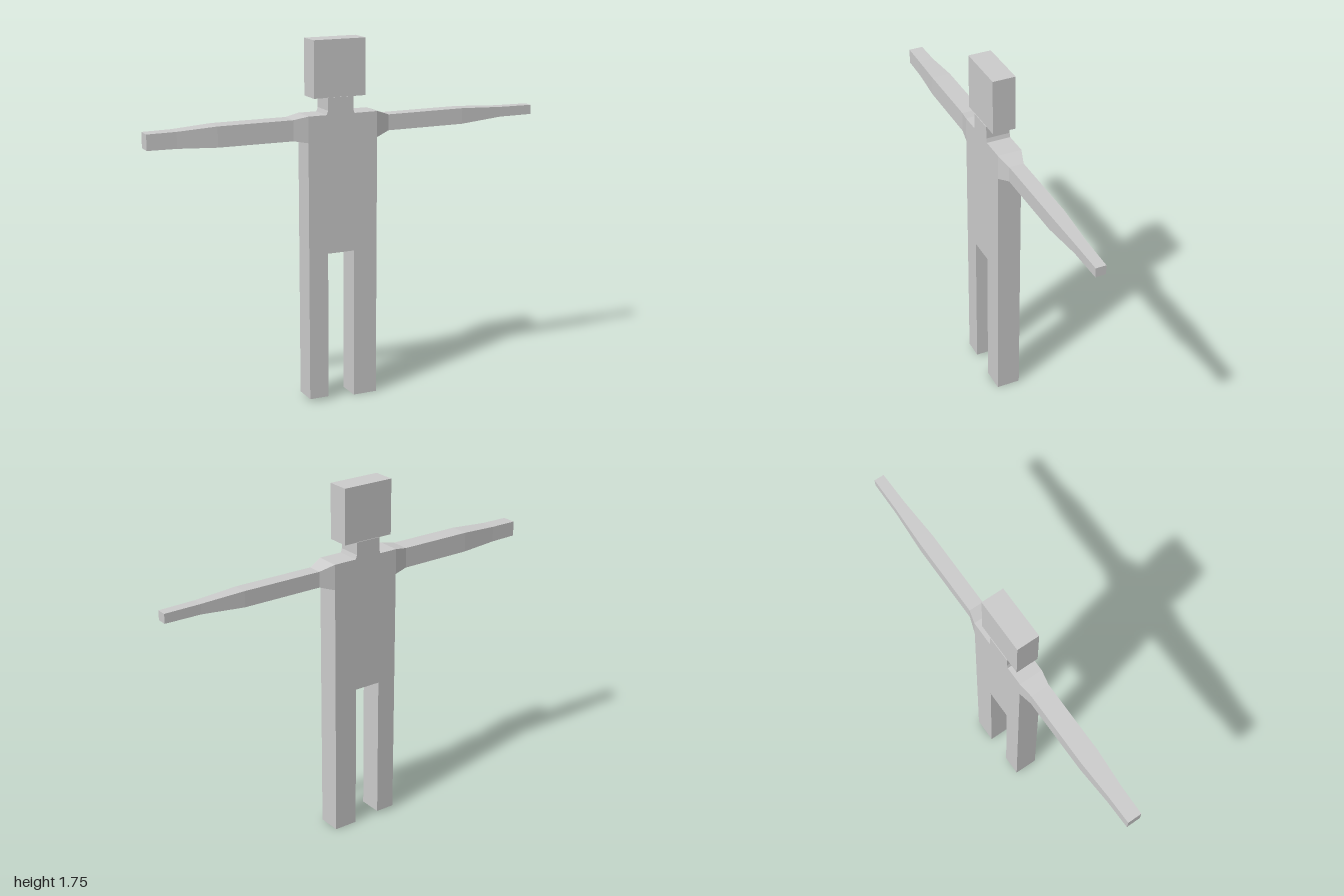
import * as THREE from 'three';

const material = new THREE.MeshStandardMaterial({ color: 0xcccccc, flatShading: true, side: THREE.DoubleSide });

function addMesh(group, name, geometry) {
  const mesh = new THREE.Mesh(geometry, material);
  mesh.name = name;
  group.add(mesh);
  return mesh;
}

// Square-section limb along x from rings [x, yBottom, yTop, halfDepth], closed at the hand end.
// dir is +1 or -1: the direction in which the rings advance.
function loftLimb(rings, dir) {
  const positions = [], index = [];
  for (const [x, y0, y1, d] of rings) {
    positions.push(x, y0, d, x, y0, -d, x, y1, -d, x, y1, d);
  }
  const quad = (a, b, c, d) => {
    if (dir > 0) index.push(a, b, c, a, c, d);
    else index.push(a, c, b, a, d, c);
  };
  for (let i = 0; i < rings.length - 1; i++) {
    for (let k = 0; k < 4; k++) {
      const a = i * 4 + k, b = i * 4 + (k + 1) % 4;
      quad(a, b, b + 4, a + 4);
    }
  }
  const e = (rings.length - 1) * 4;
  quad(e, e + 1, e + 2, e + 3);
  const geometry = new THREE.BufferGeometry();
  geometry.setAttribute('position', new THREE.Float32BufferAttribute(positions, 3));
  geometry.setIndex(index);
  const flat = geometry.toNonIndexed();
  flat.computeVertexNormals();
  return flat;
}

export function createModel() {
  const group = new THREE.Group();
  group.name = 'blockFigure';

  // Torso, legs and neck: one slab cut from a front outline
  const outline = [
    [-0.23, 0.015], [-0.132, 0.015], [-0.132, 0.737], [0.004, 0.737], [0.004, 0],
    [0.125, 0], [0.125, 1.405], [0.006, 1.405], [0.0, 1.425], [0.0, 1.486],
    [-0.13, 1.486], [-0.13, 1.425], [-0.136, 1.405], [-0.23, 1.405],
  ].map(([x, y]) => new THREE.Vector2(x, y));
  const body = new THREE.ExtrudeGeometry(new THREE.Shape(outline), { depth: 0.118, bevelEnabled: false });
  body.translate(0, 0, -0.059);
  addMesh(group, 'torsoLegsAndNeck', body);

  // Head
  const head = addMesh(group, 'head', new THREE.BoxGeometry(0.264, 0.27, 0.112));
  head.position.set(-0.067, 1.62, 0);

  // Arms: the right one is slightly thicker than the left
  addMesh(group, 'leftArm', loftLimb([
    [0.125, 1.28, 1.405, 0.059],
    [0.197, 1.303, 1.38, 0.036],
    [0.6, 1.303, 1.38, 0.036],
    [0.82, 1.32, 1.369, 0.027],
    [1.0, 1.32, 1.366, 0.025],
  ], 1));
  addMesh(group, 'rightArm', loftLimb([
    [-0.23, 1.28, 1.405, 0.059],
    [-0.3, 1.293, 1.392, 0.047],
    [-0.67, 1.295, 1.392, 0.047],
    [-0.86, 1.304, 1.381, 0.037],
    [-1.0, 1.306, 1.38, 0.035],
  ], -1));

  return group;
}
